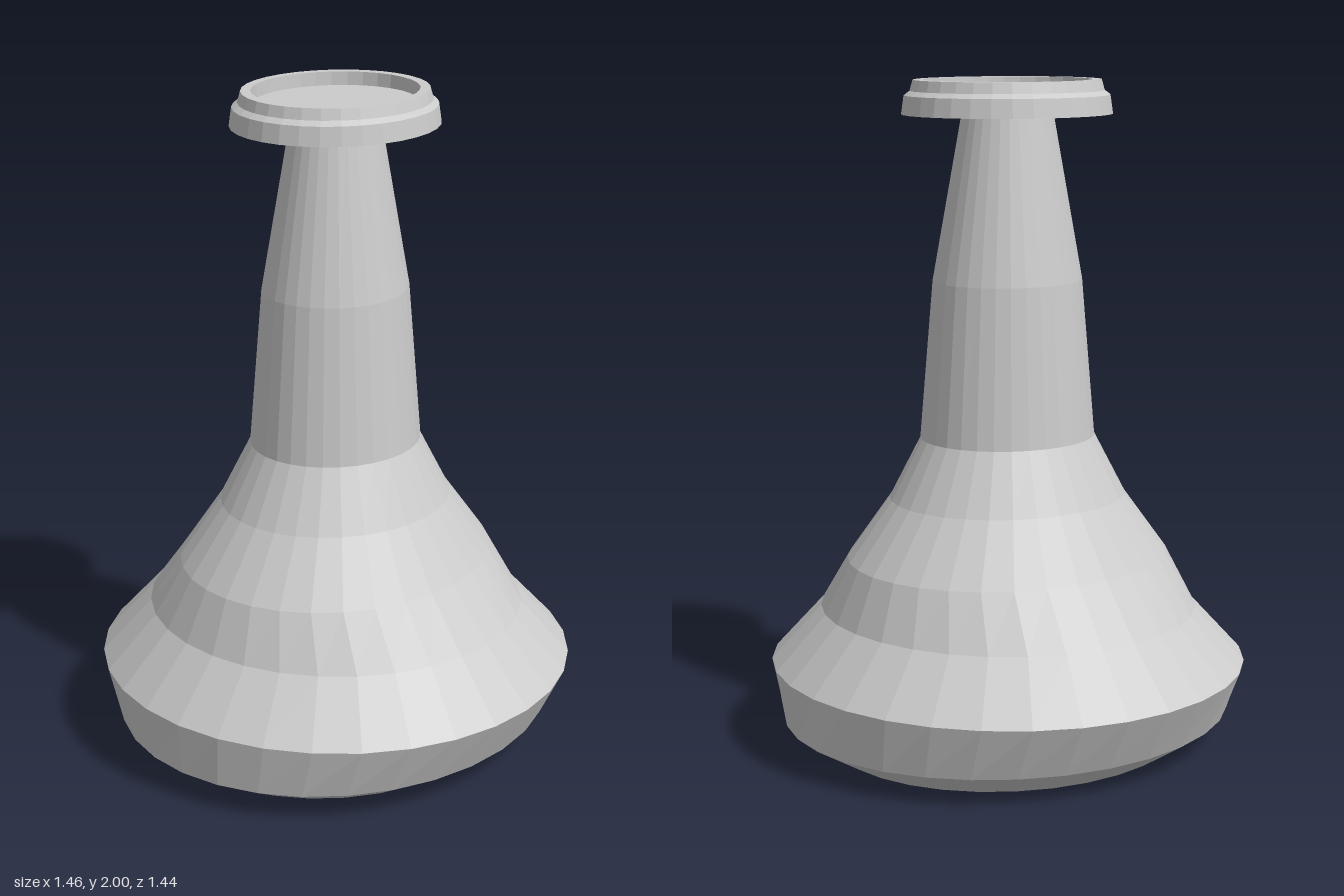
import * as THREE from 'three';

const SIDES = 32;

// Skins a stack of elliptical rings [y, radiusX, radiusZ], listed from bottom to top.
// A ring of zero radius closes an end.
function loft(name, rings) {
  const positions = [];
  const index = [];
  for (const [y, rx, rz] of rings) {
    for (let j = 0; j < SIDES; j++) {
      const t = (j / SIDES) * Math.PI * 2;
      positions.push(rx * Math.cos(t), y, rz * Math.sin(t));
    }
  }
  for (let i = 0; i < rings.length - 1; i++) {
    for (let j = 0; j < SIDES; j++) {
      const k = (j + 1) % SIDES;
      const a = i * SIDES + j, b = i * SIDES + k;
      const c = a + SIDES, d = b + SIDES;
      if (rings[i][1] > 0) index.push(a, c, b);
      if (rings[i + 1][1] > 0) index.push(b, c, d);
      else if (rings[i][1] > 0) continue; // tip: one triangle per side is enough
    }
  }
  const geometry = new THREE.BufferGeometry();
  geometry.setAttribute('position', new THREE.Float32BufferAttribute(positions, 3));
  geometry.setIndex(index);
  const flat = geometry.toNonIndexed();
  flat.computeVertexNormals();
  const mesh = new THREE.Mesh(
    flat,
    new THREE.MeshStandardMaterial({ color: 0xcccccc, flatShading: true })
  );
  mesh.name = name;
  return mesh;
}

export function createModel() {
  const group = new THREE.Group();
  group.name = 'bottle';

  // Squat flared belly on a chamfered base, rising into a tapered neck
  group.add(loft('body', [
    [0, 0, 0],
    [0, 0.515, 0.565],
    [0.087, 0.645, 0.707],
    [0.25, 0.73, 0.721],
    [0.415, 0.58, 0.568],
    [0.575, 0.455, 0.505],
    [0.755, 0.337, 0.37],
    [0.937, 0.248, 0.273],
    [1.41, 0.21, 0.232],
    [1.9, 0.128, 0.141],
  ]));

  // Wide stepped lip with a shallow recess in its top
  group.add(loft('lip', [
    [1.9, 0, 0],
    [1.9, 0.295, 0.323],
    [1.955, 0.287, 0.315],
    [1.968, 0.271, 0.297],
    [2, 0.262, 0.288],
    [2, 0.234, 0.257],
    [1.96, 0.232, 0.255],
    [1.96, 0, 0],
  ]));

  return group;
}
